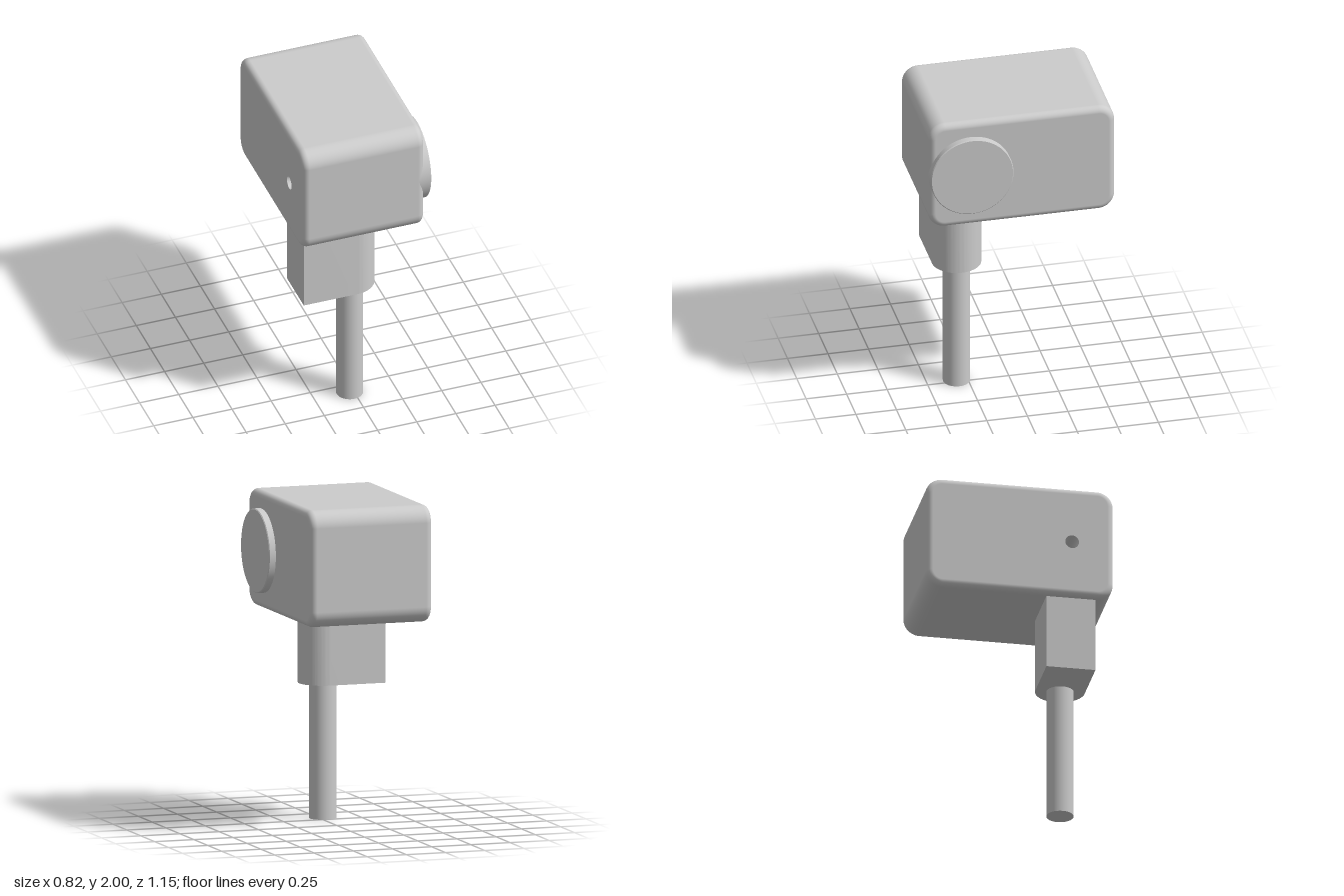
import * as THREE from 'three';
import { toCreasedNormals } from 'three/addons/utils/BufferGeometryUtils.js';

const grey = new THREE.MeshStandardMaterial({ color: 0xcccccc });
const greyOpen = new THREE.MeshStandardMaterial({ color: 0xcccccc, side: THREE.DoubleSide });

// Housing dimensions
const X0 = -0.409, X1 = 0.366, YC = 1.645, HALF_Y = 0.355, HALF_Z = 0.573;
const CORNER = 0.1, FILLET = 0.04;
// Shared axis of the stem and the dial
const AXIS_X = -0.023, AXIS_Z = 0.318;
const HOLE_R = 0.042, HOLE_DEPTH = 0.3;

function add(parent, name, geometry, material = grey) {
  const mesh = new THREE.Mesh(geometry, material);
  mesh.name = name;
  parent.add(mesh);
  return mesh;
}

// Rounded rectangle in (z, y), inset by d; each point keeps its outward direction
function outline(d, steps = 12) {
  const points = [];
  const signs = [[1, 1], [-1, 1], [-1, -1], [1, -1]];
  signs.forEach(([sz, sy], corner) => {
    for (let i = 0; i <= steps; i++) {
      const a = (corner + i / steps) * Math.PI / 2;
      const c = Math.cos(a), s = Math.sin(a), r = CORNER - d;
      points.push({ z: sz * (HALF_Z - CORNER) + r * c, y: sy * (HALF_Y - CORNER) + r * s, c, s });
    }
  });
  return points;
}

// Wall of the housing: outlines swept along x with a quarter-round at each end
function housingWall() {
  const steps = 8, rings = [];
  for (const end of [-1, 1]) {
    for (let i = 0; i <= steps; i++) {
      const t = (end < 0 ? i - steps : i) / steps * Math.PI / 2;
      const centre = end < 0 ? X0 + FILLET : X1 - FILLET;
      rings.push({ x: centre + FILLET * Math.sin(t), t });
    }
  }
  const position = [], normal = [], index = [];
  let n = 0;
  rings.forEach(({ x, t }, i) => {
    const points = outline(FILLET * (1 - Math.cos(t)));
    n = points.length;
    points.forEach((p, j) => {
      position.push(x, p.y, p.z);
      normal.push(Math.sin(t), p.s * Math.cos(t), p.c * Math.cos(t));
      if (i === rings.length - 1) return;
      const a = i * n + j, b = i * n + (j + 1) % n;
      index.push(a, a + n, b + n, a, b + n, b);
    });
  });
  const g = new THREE.BufferGeometry();
  g.setAttribute('position', new THREE.Float32BufferAttribute(position, 3));
  g.setAttribute('normal', new THREE.Float32BufferAttribute(normal, 3));
  g.setIndex(index);
  return g;
}

function capShape() {
  return new THREE.Shape(outline(FILLET).map(p => new THREE.Vector2(p.z, p.y)));
}

function buildHousing() {
  const housing = new THREE.Group();
  housing.name = 'housing';
  housing.position.y = YC;
  add(housing, 'housingWall', housingWall());

  const left = add(housing, 'leftFace', new THREE.ShapeGeometry(capShape()));
  left.rotation.y = Math.PI / 2;
  left.position.x = X1;

  // Right face with a small blind hole opposite the dial
  const holed = capShape();
  holed.holes.push(new THREE.Path().absarc(AXIS_Z, 0, HOLE_R, 0, Math.PI * 2, true));
  const right = add(housing, 'rightFace', new THREE.ShapeGeometry(holed, 16));
  right.rotation.y = -Math.PI / 2;
  right.position.x = X0;

  const bore = add(housing, 'holeWall',
    new THREE.CylinderGeometry(HOLE_R, HOLE_R, HOLE_DEPTH, 32, 1, true), greyOpen);
  bore.rotation.z = Math.PI / 2;
  bore.position.set(X0 + HOLE_DEPTH / 2, 0, AXIS_Z);
  const floor = add(housing, 'holeFloor', new THREE.CircleGeometry(HOLE_R, 32), greyOpen);
  floor.rotation.y = -Math.PI / 2;
  floor.position.set(X0 + HOLE_DEPTH, 0, AXIS_Z);
  return housing;
}

export function createModel() {
  const model = new THREE.Group();
  model.name = 'model';
  model.add(buildHousing());

  // Round dial with a finely eased rim
  const profile = [[0, 0], [0.255, 0], [0.255, 0.078], [0.25, 0.083], [0, 0.083]]
    .map(([r, h]) => new THREE.Vector2(r, h));
  const dial = add(model, 'dial', toCreasedNormals(new THREE.LatheGeometry(profile, 72), 0.5));
  dial.rotation.z = -Math.PI / 2;
  dial.position.set(0.326, YC, AXIS_Z);

  // Neck block: square at one end, half-round at the other
  const shape = new THREE.Shape();
  shape.moveTo(-0.37, -0.15);
  shape.lineTo(AXIS_X, -0.15);
  shape.absarc(AXIS_X, 0, 0.15, -Math.PI / 2, Math.PI / 2, false);
  shape.lineTo(-0.37, 0.15);
  shape.closePath();
  const neckGeometry = new THREE.ExtrudeGeometry(shape, { depth: 0.475, bevelEnabled: false, curveSegments: 32 });
  const neck = add(model, 'neck', toCreasedNormals(neckGeometry, 0.5));
  neck.rotation.x = -Math.PI / 2;
  neck.position.set(0, 0.825, AXIS_Z);

  // Stem
  const stem = add(model, 'stem', new THREE.CylinderGeometry(0.082, 0.082, 0.83, 48));
  stem.position.set(AXIS_X, 0.415, AXIS_Z);

  return model;
}
